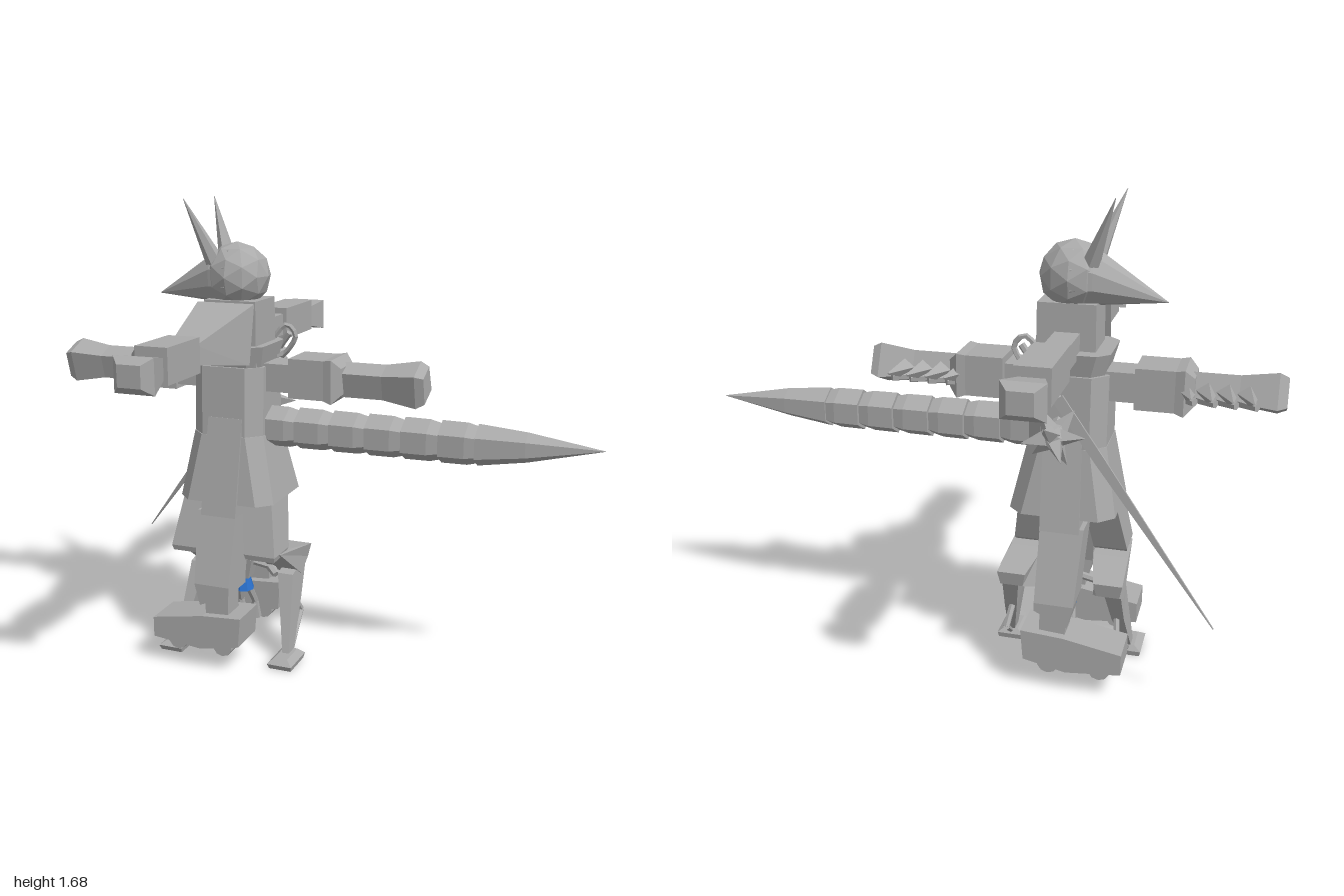
import * as THREE from 'three';

const grey = new THREE.MeshStandardMaterial({ color: 0xaaaaaa });
grey.name = 'plain grey';
const blue = new THREE.MeshStandardMaterial({ color: 0x2a70cc });
blue.name = 'blue';

const CX = -0.3;  // body axis in x
const CZ = -0.04; // body axis in z
const V = (p) => new THREE.Vector3(...p);

// Rectangular cross-sections across each axis
const ringX = (x, y0, y1, z0, z1) => [[x, y0, z0], [x, y0, z1], [x, y1, z1], [x, y1, z0]];
const ringY = (y, x0, x1, z0, z1) => [[x0, y, z0], [x0, y, z1], [x1, y, z1], [x1, y, z0]];
const ringZ = (z, x0, x1, y0, y1) => [[x0, y0, z], [x1, y0, z], [x1, y1, z], [x0, y1, z]];
const octY = (y, x0, x1, z0, z1, c) => [[x0, y, z0 + c], [x0, y, z1 - c], [x0 + c, y, z1], [x1 - c, y, z1],
  [x1, y, z1 - c], [x1, y, z0 + c], [x1 - c, y, z0], [x0 + c, y, z0]];
const polyX = (x, cy, cz, r, n) => Array.from({ length: n }, (_, i) => {
  const a = (i / n) * Math.PI * 2;
  return [x, cy + Math.cos(a) * r, cz + Math.sin(a) * r];
});

// Closed flat-shaded skin through a row of cross-sections, turned outward
function loft(rings) {
  const tris = [];
  const n = rings[0].length;
  for (let r = 0; r < rings.length - 1; r++) {
    for (let i = 0; i < n; i++) {
      const j = (i + 1) % n, A = rings[r], B = rings[r + 1];
      tris.push([A[i], A[j], B[j]], [A[i], B[j], B[i]]);
    }
  }
  const last = rings[rings.length - 1];
  for (let i = 1; i < n - 1; i++) {
    tris.push([rings[0][0], rings[0][i + 1], rings[0][i]], [last[0], last[i], last[i + 1]]);
  }
  const vol = tris.reduce((s, [a, b, c]) => s + V(a).dot(V(b).cross(V(c))), 0);
  if (vol < 0) tris.forEach((t) => t.reverse());
  const g = new THREE.BufferGeometry();
  g.setAttribute('position', new THREE.Float32BufferAttribute(tris.flat(2), 3));
  g.computeVertexNormals();
  return g;
}

export function createModel() {
  const model = new THREE.Group();
  const add = (name, geometry, material = grey) => {
    const g = geometry.index ? geometry.toNonIndexed() : geometry;
    g.computeVertexNormals();
    const m = new THREE.Mesh(g, material);
    m.name = name;
    model.add(m);
    return m;
  };
  const rod = (name, a, b, r0, r1, sides = 6, material = grey) => {
    const d = V(b).sub(V(a));
    const m = add(name, new THREE.CylinderGeometry(r1, r0, d.length(), sides), material);
    m.position.copy(V(a)).addScaledVector(d, 0.5);
    m.quaternion.setFromUnitVectors(new THREE.Vector3(0, 1, 0), d.normalize());
  };
  const ball = (name, p, r, material = grey, detail = 1) =>
    add(name, new THREE.IcosahedronGeometry(r, detail), material).position.set(...p);

  // Head, beak, horns and neck
  ball('head', [-0.295, 1.41, CZ], 0.117);
  add('beak', loft([polyX(-0.3, 1.41, CZ, 0.113, 10), polyX(-0.37, 1.405, CZ, 0.093, 10), polyX(-0.605, 1.335, CZ, 0.001, 10)]));
  for (const s of [-1, 1]) rod('horn', [-0.355, 1.45, CZ + s * 0.05], [-0.44, 1.675, CZ + s * 0.12], 0.034, 0.001);
  add('neck', loft([ringY(1.08, -0.39, -0.19, -0.125, 0.05), ringY(1.33, -0.385, -0.19, -0.12, 0.05)]));

  // Torso, coat and collar
  add('torso', loft([octY(0.85, -0.435, -0.17, -0.175, 0.092, 0.05), octY(1.1, -0.435, -0.17, -0.17, 0.08, 0.05)]));
  add('coatSkirt', loft([octY(0.615, -0.48, -0.115, -0.21, 0.132, 0.05), octY(0.855, -0.437, -0.168, -0.177, 0.094, 0.05)]));
  add('collar', loft([octY(1.1, -0.42, -0.18, -0.16, 0.07, 0.04), octY(1.175, -0.44, -0.162, -0.175, 0.09, 0.04)]));

  // Side arms along z, one with a broad shoulder guard
  add('shoulderGuard', loft([
    [[-0.4, 1.12, 0.115], [-0.185, 1.12, 0.115], [-0.185, 1.325, 0.07], [-0.4, 1.325, 0.07]],
    ringZ(0.39, -0.34, -0.245, 1.165, 1.23)]));
  add('shoulderRoot', loft([ringZ(0, -0.37, -0.21, 1.14, 1.28), ringZ(0.12, -0.37, -0.21, 1.14, 1.28)]));
  add('upperArm', loft([ringZ(-0.1, -0.335, -0.25, 1.155, 1.235), ringZ(-0.345, -0.335, -0.25, 1.155, 1.235)]));
  const sideHand = (z, s) => {
    add('forearm', loft([ringZ(z, -0.348, -0.235, 1.14, 1.257), ringZ(s * 0.6, -0.348, -0.235, 1.14, 1.257)]));
    add('sideHand', loft([ringZ(s * 0.6, -0.33, -0.25, 1.155, 1.225), ringZ(s * 0.705, -0.36, -0.222, 1.13, 1.245),
      ringZ(s * 0.738, -0.33, -0.25, 1.155, 1.225)]));
  };
  sideHand(0.385, 1);
  sideHand(-0.34, -1);

  // Cross arms along x with cuffs, fists and back fins
  for (const s of [-1, 1]) {
    const at = (d) => CX + s * d;
    add('crossUpperArm', loft([ringX(at(0.1), 1.01, 1.11, -0.11, 0.01), ringX(at(0.25), 1.01, 1.11, -0.11, 0.01)]));
    add('cuff', loft([ringX(at(0.22), 0.995, 1.135, -0.135, 0.025), ringX(at(0.35), 0.995, 1.135, -0.135, 0.025),
      ringX(at(0.38), 0.985, 1.14, -0.14, 0.03), ringX(at(0.41), 1.015, 1.11, -0.115, 0.01)]));
    const fist = (d, k) => [[1.1, 0.015], [1.14, -0.075], [1.03, -0.125], [0.985, -0.015]]
      .map(([y, z]) => [at(d), 1.063 + (y - 1.063) * k, -0.05 + (z + 0.05) * k]);
    add('fist', loft([fist(0.4, 0.75), fist(0.55, 0.75), fist(0.67, 1), fist(0.7, 0.8)]));
    for (const d of [0.38, 0.445, 0.51, 0.575]) {
      rod('fin', [at(d), 1.06, -0.09], [at(d + 0.025), 1.07, -0.2], 0.034, 0.004, 4);
      rod('finger', [at(d - 0.02), 1.04, -0.1], [at(d + 0.035), 1.04, -0.14], 0.018, 0.014);
    }
  }

  // Segmented hexagonal tail
  for (let i = 0; i < 6; i++) {
    const x = -0.19 + i * 0.13;
    add('tailSegment', loft([polyX(x, 0.875, CZ, 0.075, 6), polyX(x + 0.09, 0.875, CZ, 0.074, 6), polyX(x + 0.128, 0.875, CZ, 0.064, 6)]));
  }
  add('tailTip', loft([polyX(0.585, 0.875, CZ, 0.073, 6), polyX(0.75, 0.88, -0.045, 0.052, 6), polyX(1, 0.887, -0.06, 0.001, 6)]));

  // Heavy legs with wheeled feet, mirrored across the body axis
  for (const s of [-1, 1]) {
    const z = (d) => CZ + s * d;
    add('thigh', loft([ringY(0.92, -0.36, -0.23, z(0.04), z(0.13)), ringY(0.57, -0.37, -0.235, z(0.07), z(0.19))]));
    add('shin', loft([ringY(0.585, -0.385, -0.235, z(0.05), z(0.18)), ringY(0.33, -0.37, -0.235, z(0.11), z(0.255)),
      [[-0.35, 0.25, z(0.11)], [-0.35, 0.25, z(0.255)], [-0.235, 0.3, z(0.255)], [-0.235, 0.3, z(0.11)]]]));
    add('ankle', loft([ringY(0.15, -0.34, -0.25, z(0.14), z(0.23)), ringY(0.3, -0.34, -0.25, z(0.14), z(0.23))]));
    const foot = [[-0.54, 0.175], [-0.54, 0.1], [-0.35, 0.08], [-0.2, 0.11], [-0.19, 0.22], [-0.34, 0.21]];
    add('foot', loft([0.108, 0.26].map((d) => foot.map(([x, y]) => [x, y, z(d)]))));
    for (const x of [-0.46, -0.28]) rod('wheel', [x, 0.085, z(0.145)], [x, 0.085, z(0.225)], 0.038, 0.038, 10);
  }

  // Bird legs, mirrored in x
  for (const s of [-1, 1]) {
    const x = (d) => CX + s * d;
    const plate = (name, profile) => add(name, loft([0, 1].map((k) =>
      profile.map(([z, y, d, w]) => [x(d + (k - 0.5) * w), y, z]))));
    add('birdThigh', loft([ringY(0.66, x(0.05), x(0.165), -0.1, 0.06), ringY(0.43, x(0.085), x(0.205), -0.01, 0.125),
      ringY(0.41, x(0.09), x(0.2), 0.01, 0.12)]));
    plate('birdShank', [[0.085, 0.43, 0.15, 0.12], [-0.04, 0.415, 0.15, 0.12], [-0.2, 0.38, 0.17, 0.1],
      [-0.19, 0.33, 0.17, 0.08], [-0.11, 0.29, 0.16, 0.11]]);
    plate('birdShin', [[-0.035, 0.31, 0.18, 0.06], [-0.17, 0.34, 0.18, 0.06], [-0.1, 0.2, 0.195, 0.045],
      [0.015, 0.03, 0.22, 0.025], [0.065, 0.03, 0.22, 0.025]]);
    rod('birdStrut', [x(0.2), 0.13, -0.14], [x(0.22), 0.035, 0], 0.012, 0.009);
    rod('birdStrutLink', [x(0.2), 0.13, -0.14], [x(0.19), 0.2, -0.09], 0.012, 0.012);
    add('birdFoot', loft([ringY(0, x(0.18), x(0.265), 0, 0.125), ringY(0.02, x(0.175), x(0.27), -0.005, 0.135),
      ringY(0.038, x(0.195), x(0.245), 0.01, 0.11)]));
  }

  // Long thin sword carried across the back
  const bladeRing = ([x, y, z], w) => [[-1, -1], [1, -1], [1, 1], [-1, 1]]
    .map(([a, b]) => [x + a * w * 0.78, y - a * w * 0.62, z + b * 0.004]);
  add('swordBlade', loft([bladeRing([-0.28, 1.03, -0.188], 0.02), bladeRing([-0.43, 0.84, -0.22], 0.018), bladeRing([-0.835, 0.33, -0.305], 0.001)]));
  rod('swordHandle', [-0.15, 1.195, -0.16], [-0.28, 1.03, -0.188], 0.012, 0.014);
  add('hook', new THREE.TubeGeometry(new THREE.CatmullRomCurve3([[-0.22, 1.16, -0.15], [-0.16, 1.225, -0.16],
    [-0.125, 1.19, -0.16], [-0.15, 1.14, -0.165], [-0.19, 1.1, -0.17]].map(V)), 12, 0.01, 5));
  for (let i = 0; i < 3; i++) rod('gripFinger', [-0.19, 1.12 - i * 0.032, -0.1], [-0.19, 1.12 - i * 0.032, -0.2], 0.018, 0.018);

  // Spiked star on the back
  const star = [-0.28, 0.92, -0.25];
  ball('starCore', star, 0.05, grey, 0);
  for (let i = 0; i < 10; i++) {
    const u = 1 - (2 * i + 1) / 10, a = i * 2.4, r = Math.sqrt(1 - u * u);
    const dir = [r * Math.cos(a), u, r * Math.sin(a)];
    rod('starSpike', star, star.map((c, k) => c + dir[k] * 0.11), 0.042, 0.001, 4);
  }
  rod('starMount', [-0.28, 0.92, -0.25], [-0.28, 0.95, -0.15], 0.02, 0.02);

  // Little figure between the legs
  ball('smallHead', [CX, 0.385, -0.05], 0.035);
  add('smallChest', loft([ringY(0.27, -0.33, -0.27, -0.08, -0.03), ringY(0.35, -0.35, -0.25, -0.09, -0.02)]));
  rod('smallSkirt', [CX, 0.22, -0.055], [CX, 0.285, -0.055], 0.04, 0.022, 8, blue);
  ball('smallOrb', [CX, 0.315, -0.15], 0.018, blue);
  for (const s of [-1, 1]) {
    rod('smallArm', [CX + s * 0.04, 0.335, -0.055], [CX + s * 0.12, 0.32, -0.06], 0.013, 0.013);
    rod('smallHand', [CX + s * 0.11, 0.32, -0.06], [CX + s * 0.14, 0.3, -0.04], 0.018, 0.014);
    rod('smallThigh', [CX + s * 0.02, 0.23, -0.055], [CX + s * 0.03, 0.16, -0.09], 0.015, 0.013);
    rod('smallShin', [CX + s * 0.03, 0.16, -0.09], [CX + s * 0.03, 0.09, -0.1], 0.013, 0.02);
  }
  return model;
}
